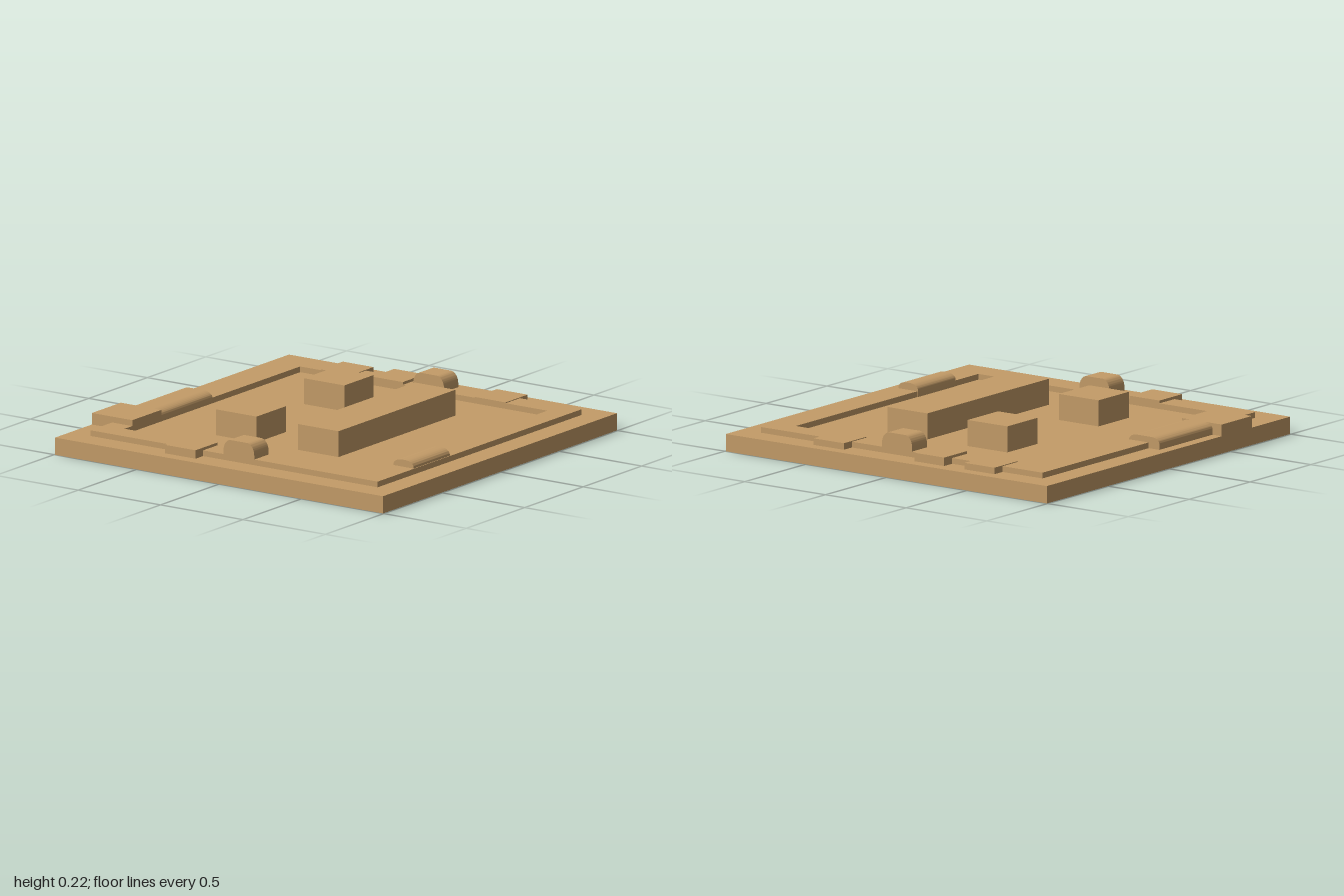
import * as THREE from 'three';
import { toCreasedNormals } from 'three/addons/utils/BufferGeometryUtils.js';

const BASE_TOP = 0.088;
const RING_TOP = 0.117;

export function createModel() {
  const model = new THREE.Group();
  model.name = 'boardModel';

  const tan = new THREE.MeshStandardMaterial({ color: 0xc49c68 });
  tan.name = 'tan';

  const add = (name, geometry) => {
    const mesh = new THREE.Mesh(geometry, tan);
    mesh.name = name;
    model.add(mesh);
    return mesh;
  };

  // Box given by its limits
  const box = (name, x0, x1, y0, y1, z0, z1) =>
    add(name, new THREE.BoxGeometry(x1 - x0, y1 - y0, z1 - z0))
      .position.set((x0 + x1) / 2, (y0 + y1) / 2, (z0 + z1) / 2);

  // Bar along z with rounded upper corners
  const roundedBar = (name, x0, x1, y0, y1, z0, z1, rx, ry) => {
    const s = new THREE.Shape();
    s.moveTo(x0, y0);
    s.lineTo(x1, y0);
    s.lineTo(x1, y1 - ry);
    s.absellipse(x1 - rx, y1 - ry, rx, ry, 0, Math.PI / 2, false);
    s.lineTo(x0 + rx, y1);
    s.absellipse(x0 + rx, y1 - ry, rx, ry, Math.PI / 2, Math.PI, false);
    s.lineTo(x0, y0);
    const g = new THREE.ExtrudeGeometry(s, { depth: z1 - z0, bevelEnabled: false, curveSegments: 10 });
    add(name, toCreasedNormals(g, 0.6)).position.z = z0;
  };

  const square = (path, hx, hz) => {
    path.moveTo(-hx, -hz);
    path.lineTo(hx, -hz);
    path.lineTo(hx, hz);
    path.lineTo(-hx, hz);
    path.closePath();
    return path;
  };

  // Base slab
  box('baseSlab', -0.995, 0.995, 0, BASE_TOP, -1, 1);

  // Raised rectangular border
  const border = square(new THREE.Shape(), 0.872, 0.872);
  border.holes.push(square(new THREE.Path(), 0.75, 0.75));
  const ring = new THREE.ExtrudeGeometry(border, { depth: RING_TOP - BASE_TOP, bevelEnabled: false });
  ring.rotateX(-Math.PI / 2);
  add('raisedBorder', ring).position.y = BASE_TOP;

  // Blocks in the courtyard
  box('backBlock', -0.373, -0.127, BASE_TOP, 0.22, -0.5, -0.25);
  box('frontBlock', -0.373, -0.127, BASE_TOP, 0.22, 0.25, 0.5);
  box('longBlock', 0.123, 0.37, BASE_TOP, 0.22, -0.5, 0.5);

  // Arched gates, front and back
  roundedBar('frontArch', -0.064, 0.123, BASE_TOP, 0.195, 0.75, 0.872, 0.045, 0.06);
  roundedBar('backArch', -0.064, 0.123, BASE_TOP, 0.195, -0.872, -0.75, 0.045, 0.06);

  // Rounded mounds on the side borders
  roundedBar('leftMound', 0.747, 0.868, BASE_TOP, 0.153, 0.25, 0.56, 0.05, 0.03);
  roundedBar('rightMound', -0.938, -0.75, BASE_TOP, 0.147, 0, 0.437, 0.05, 0.03);

  // Corner box beside the right mound
  box('rightBox', -0.995, -0.75, BASE_TOP, 0.147, 0.437, 0.685);

  // Tabs across the front and back borders
  box('frontTab', -0.373, -0.188, BASE_TOP, 0.131, 0.75, 0.936);
  box('backTabMiddle', -0.312, -0.127, BASE_TOP, 0.131, -0.938, -0.75);
  box('backTabRight', -0.624, -0.438, BASE_TOP, 0.121, -0.938, -0.75);
  box('backTabLeft', 0.31, 0.497, BASE_TOP, 0.121, -0.938, -0.75);

  return model;
}
